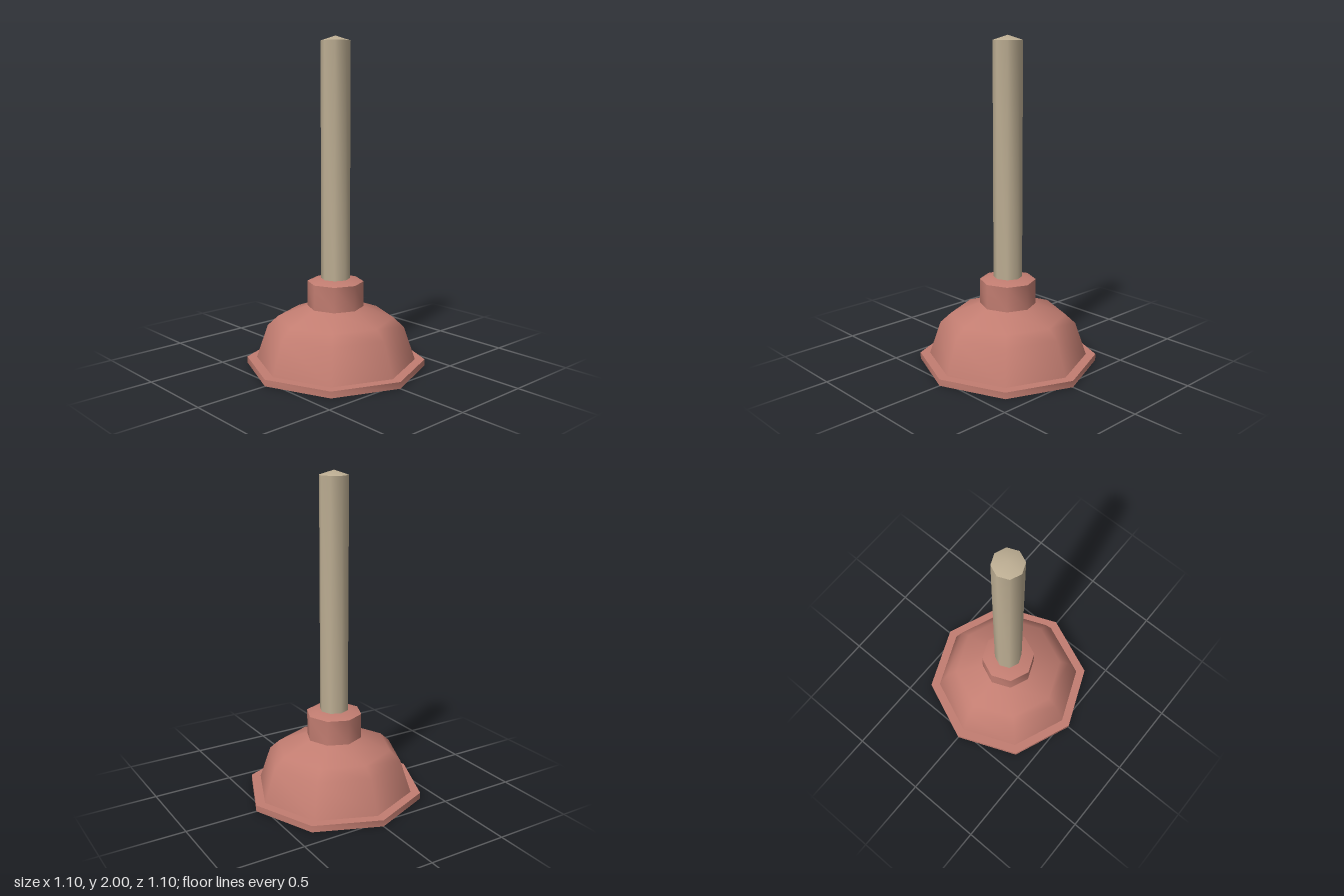
import * as THREE from 'three';
import { toCreasedNormals } from 'three/addons/utils/BufferGeometryUtils.js';

const SIDES = 8;

// Eight-sided turned part, smooth around but sharp at strong profile corners
function turned(name, profile, material) {
  const points = profile.map(([r, y]) => new THREE.Vector2(r, y));
  const geometry = toCreasedNormals(new THREE.LatheGeometry(points, SIDES), THREE.MathUtils.degToRad(50));
  const mesh = new THREE.Mesh(geometry, material);
  mesh.name = name;
  return mesh;
}

export function createModel() {
  const rubber = new THREE.MeshStandardMaterial({ color: 0xc27d71 });
  rubber.name = 'red rubber';
  const wood = new THREE.MeshStandardMaterial({ color: 0xbdae93 });
  wood.name = 'pale wood';

  const model = new THREE.Group();
  model.name = 'plunger';

  // Hollow cup: inner ceiling, inner wall, flat rim, outer wall, shoulder, collar
  model.add(turned('rubberCup', [
    [0, 0.34], [0.35, 0.28], [0.415, 0.22], [0.475, 0],
    [0.55, 0], [0.55, 0.04], [0.49, 0.04],
    [0.42, 0.245], [0.355, 0.305], [0.172, 0.375],
    [0.172, 0.53], [0.12, 0.546], [0.07, 0.55],
  ], rubber));

  // Handle with a shallow domed tip
  model.add(turned('handle', [
    [0, 0.4], [0.088, 0.4], [0.088, 1.972], [0, 2],
  ], wood));

  return model;
}
